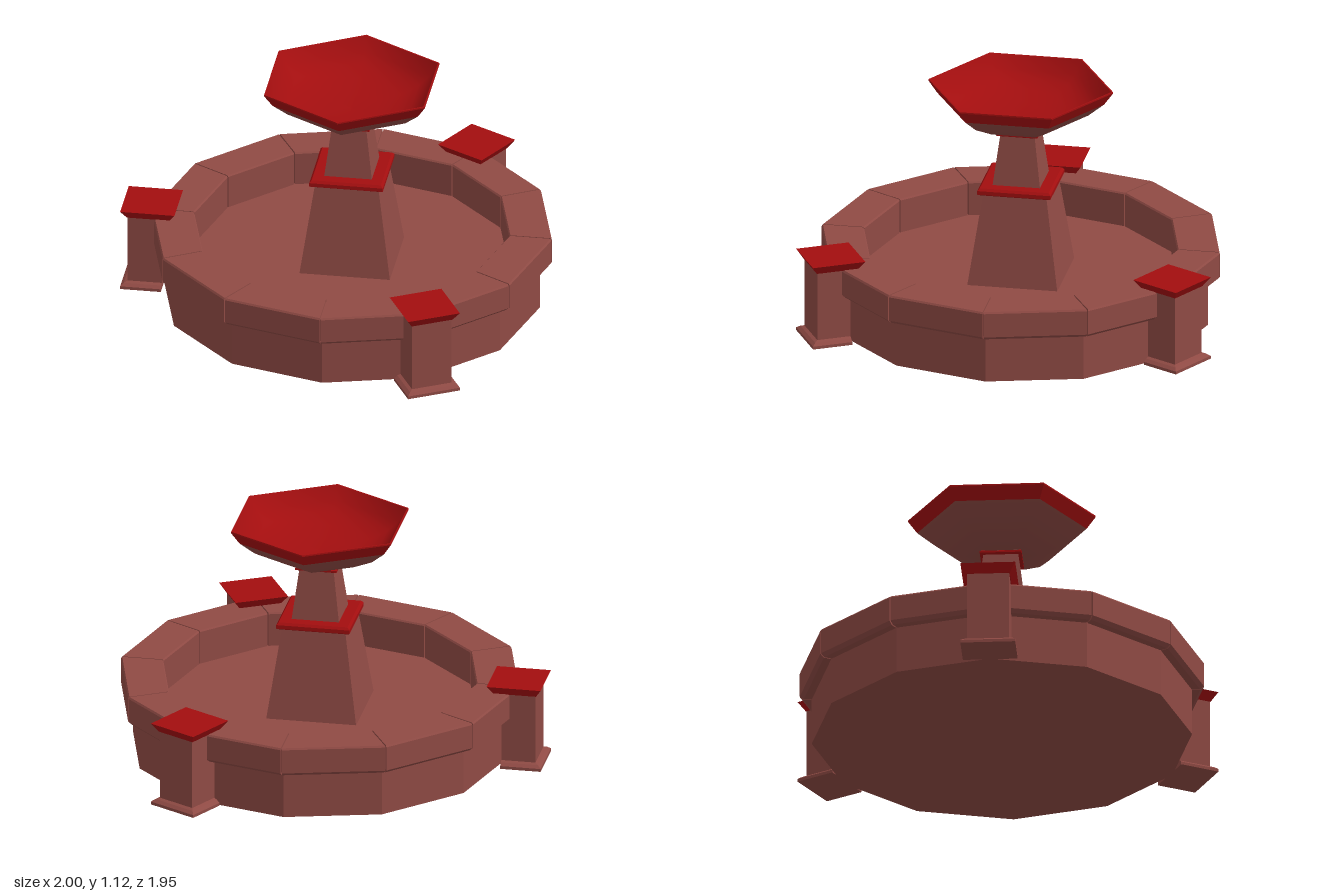
import * as THREE from 'three';

const stone = new THREE.MeshStandardMaterial({ color: 0x8f4a44 });
stone.name = 'brown stone';
const red = new THREE.MeshStandardMaterial({ color: 0xa30e0f });
red.name = 'red trim';

function flat(geometry) {
  const g = geometry.toNonIndexed();
  g.computeVertexNormals();
  return g;
}

function add(parent, name, geometry, material) {
  const mesh = new THREE.Mesh(geometry, material);
  mesh.name = name;
  parent.add(mesh);
  return mesh;
}

// Revolved profile of [radius, y] points, listed upwards along the outside
function turned(profile, sides, smooth = false) {
  const g = new THREE.LatheGeometry(profile.map(p => new THREE.Vector2(...p)), sides);
  return smooth ? g : flat(g);
}

// Square solid from [half width, y] points; the -x side may be cut off at a plane
function square(profile, cut = -Infinity) {
  const pts = profile.map(([h, y]) => new THREE.Vector2(h * Math.SQRT2, y));
  pts.unshift(new THREE.Vector2(0, profile[0][1]));
  pts.push(new THREE.Vector2(0, profile[profile.length - 1][1]));
  const g = new THREE.LatheGeometry(pts, 4, Math.PI / 4);
  const p = g.attributes.position;
  for (let i = 0; i < p.count; i++) p.setX(i, Math.max(p.getX(i), cut));
  return flat(g);
}

// One straight coping stone between two mitred ends
function copingStone(section, halfAngle, gap) {
  const shape = new THREE.Shape(section.map(p => new THREE.Vector2(...p)));
  const g = new THREE.ExtrudeGeometry(shape, { depth: 1, bevelEnabled: false });
  const p = g.attributes.position;
  for (let i = 0; i < p.count; i++) {
    const r = p.getX(i);
    const side = p.getZ(i) > 0.5 ? 1 : -1;
    p.setXYZ(i, r * Math.cos(halfAngle), p.getY(i), side * (r * Math.sin(halfAngle) - gap));
  }
  g.computeVertexNormals();
  return g;
}

export function createModel() {
  const model = new THREE.Group();
  model.name = 'fountain';
  const fountain = new THREE.Group();
  fountain.name = 'fountainBody';
  fountain.position.set(0.0635, 0, -0.006);
  model.add(fountain);

  // Twelve-sided basin with floor and the core behind the coping joints
  add(fountain, 'basin', turned([
    [0, 0], [0.88, 0], [0.88, 0.23], [0.922, 0.24], [0.922, 0.355],
    [0.752, 0.355], [0.752, 0.2], [0, 0.2],
  ], 12), stone);

  // Coping stones, reaching down to the floor on the inside
  const rim = new THREE.Group();
  rim.name = 'rim';
  fountain.add(rim);
  const stoneGeometry = copingStone([
    [0.736, 0.195], [0.8, 0.195], [0.8, 0.225], [0.918, 0.225], [0.936, 0.241],
    [0.936, 0.357], [0.93, 0.365], [0.742, 0.365], [0.736, 0.358],
  ], Math.PI / 12, 0.003);
  for (let i = 0; i < 12; i++) {
    add(rim, 'rimStone', stoneGeometry, stone).rotation.y = (i + 0.5) * Math.PI / 6;
  }

  // Three posts set against the basin wall: x, z and turn in degrees
  const postGeometry = square([
    [0.127, 0], [0.127, 0.014], [0.112, 0.026], [0.097, 0.032], [0.097, 0.37],
  ], -0.063);
  const capGeometry = square([[0.1, 0.363], [0.127, 0.405]]);
  for (const [x, z, turn] of [[-0.936, 0, 180], [0.458, -0.798, 61.3], [0.468, 0.804, -61.3]]) {
    const post = new THREE.Group();
    post.name = 'post';
    post.position.set(x, 0, z);
    post.rotation.y = THREE.MathUtils.degToRad(turn);
    fountain.add(post);
    add(post, 'postBody', postGeometry, stone);
    add(post, 'postCap', capGeometry, red);
  }

  // Tapered pedestal in two stages with collars
  add(fountain, 'lowerColumn', square([[0.212, 0.195], [0.148, 0.64]]), stone);
  add(fountain, 'lowerCollar', square([
    [0.16, 0.63], [0.172, 0.637], [0.172, 0.655], [0.162, 0.666],
  ]), red);
  add(fountain, 'upperColumn', square([[0.112, 0.66], [0.077, 0.935]]), stone);
  add(fountain, 'upperCollar', square([
    [0.09, 0.903], [0.097, 0.907], [0.097, 0.916], [0.09, 0.92],
  ]), red);

  // Six-sided bowl: rounded underside, angular lip, dished inside
  add(fountain, 'bowlUnderside', turned([
    [0, 0.923], [0.13, 0.927], [0.207, 0.945], [0.318, 1.0], [0.392, 1.06],
  ], 6, true), stone);
  add(fountain, 'bowlLip', turned([
    [0.392, 1.06], [0.434, 1.118], [0.434, 1.125], [0.426, 1.125],
  ], 6), red);
  add(fountain, 'bowlInside', turned([
    [0.426, 1.125], [0.385, 1.065], [0.33, 1.025], [0.25, 0.995], [0.13, 0.977], [0, 0.972],
  ], 6, true), red);

  return model;
}
